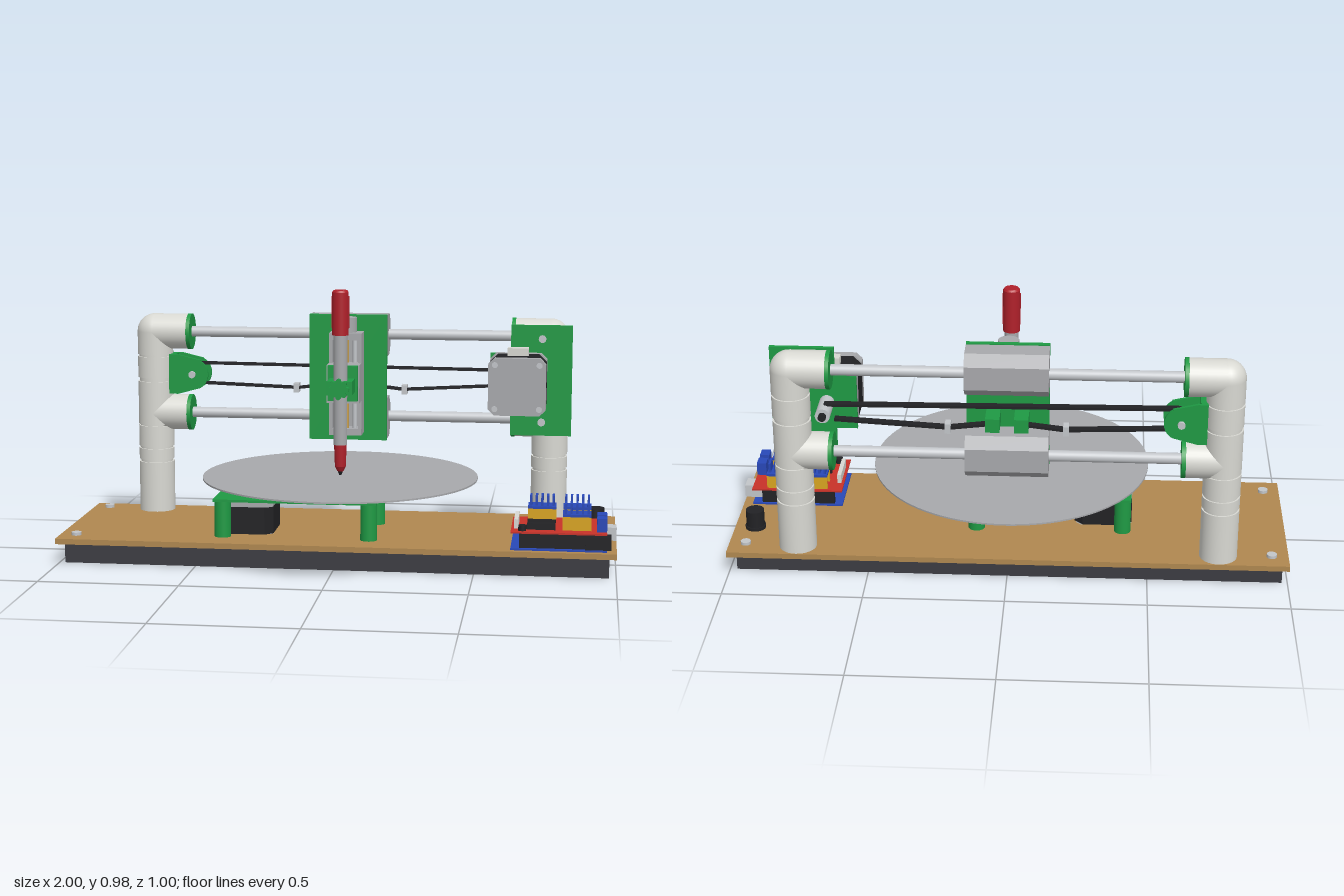
import * as THREE from 'three';

const C = { wood: 0xb08850, dark: 0x3c3c42, black: 0x222225, green: 0x1f9a44, red: 0xb0202a,
  pipe: 0xd8d8d2, steel: 0xc2c5c9, grey: 0xa8a9ac, blue: 0x2848b8, yellow: 0xd9a520, board: 0xc83228, gold: 0xc8a050 };
const mats = {};
const mat = (c) => (mats[c] ??= new THREE.MeshStandardMaterial({ color: C[c], side: THREE.DoubleSide }));

export function createModel() {
  const root = new THREE.Group();
  root.name = 'drawingMachine';
  const add = (name, geo, color, parent = root) => {
    const m = new THREE.Mesh(geo, mat(color));
    m.name = name;
    parent.add(m);
    return m;
  };
  const group = (name) => {
    const g = new THREE.Group();
    g.name = name;
    root.add(g);
    return g;
  };
  // box from its min and max on each axis
  const box = (name, color, x0, x1, y0, y1, z0, z1, parent) => {
    const m = add(name, new THREE.BoxGeometry(x1 - x0, y1 - y0, z1 - z0), color, parent);
    m.position.set((x0 + x1) / 2, (y0 + y1) / 2, (z0 + z1) / 2);
    return m;
  };
  // cylinder centred at x, y, z along an axis
  const cyl = (name, color, r, len, x, y, z, axis = 'y', parent = root, seg = 32) => {
    const m = add(name, new THREE.CylinderGeometry(r, r, len, seg), color, parent);
    m.position.set(x, y, z);
    if (axis === 'x') m.rotation.z = Math.PI / 2;
    if (axis === 'z') m.rotation.x = Math.PI / 2;
    return m;
  };
  // lathe with hard edges: each [r0, y0, r1, y1] is one band
  const turned = (name, color, bands, x, z, parent) => bands.forEach(([r0, y0, r1, y1]) => {
    const m = add(name, new THREE.CylinderGeometry(r1, r0, y1 - y0, 32), color, parent);
    m.position.set(x, (y0 + y1) / 2, z);
  });
  const extrude = (name, color, pts, depth, parent) => add(name,
    new THREE.ExtrudeGeometry(new THREE.Shape(pts.map((p) => new THREE.Vector2(...p))), { depth, bevelEnabled: false }), color, parent);
  // flat belt loop around two pulleys on the local x axis, extruded along z
  const beltLoop = (name, x0, r0, x1, r1, width, parent) => {
    const outline = (P, t) => {
      const a = Math.acos((r0 - r1) / (x1 - x0));
      P.absarc(x0, 0, r0 + t, a, 2 * Math.PI - a, false);
      P.absarc(x1, 0, r1 + t, -a, a, false);
      P.closePath();
      return P;
    };
    const s = outline(new THREE.Shape(), 0.008);
    s.holes.push(outline(new THREE.Path(), 0));
    return add(name, new THREE.ExtrudeGeometry(s, { depth: width, bevelEnabled: false, curveSegments: 24 }), 'black', parent);
  };

  // base board, runners and bolts
  box('baseBoard', 'wood', -1, 1, 0.08, 0.1, -0.38, 0.265);
  box('frontRunner', 'dark', -0.98, 0.975, 0, 0.08, 0.13, 0.205);
  box('backRunner', 'dark', -0.98, 0.975, 0, 0.08, -0.32, -0.245);
  for (const [x, z] of [[-0.94, -0.31], [0.94, -0.31], [-0.94, 0.19], [0.94, 0.19]])
    cyl('baseBolt', 'steel', 0.018, 0.012, x, 0.105, z);

  // stepper motor, axis along local z, back cap towards +z
  const motor = (name, len, capBack, capFront) => {
    const g = group(name);
    const a = 0.104, c = 0.022;
    const sq = (k) => [[-a, -a + k], [-a + k, -a], [a - k, -a], [a, -a + k], [a, a - k], [a - k, a], [-a + k, a], [-a, a - k]];
    extrude('motorFrontCap', 'grey', sq(c), capFront, g);
    extrude('motorCore', 'black', sq(c * 1.3), len - capBack - capFront, g).position.z = capFront;
    extrude('motorBackCap', 'grey', sq(c), capBack, g).position.z = len - capBack;
    for (const sx of [-1, 1]) for (const sy of [-1, 1])
      cyl('motorScrew', 'steel', 0.011, 0.004, sx * 0.08, sy * 0.08, len, 'z', g, 12);
    return g;
  };

  // turntable drive
  const tm = motor('turntableMotor', 0.195, 0.06, 0.035);
  tm.rotation.x = Math.PI / 2;
  tm.position.set(-0.34, 0.235, 0);
  for (const x of [-0.41, 0.12]) for (const z of [-0.142, 0.142])
    cyl('turntablePost', 'green', 0.03, 0.135, x, 0.167, z);
  box('turntablePlate', 'green', -0.44, 0.15, 0.232, 0.241, -0.178, 0.178);
  const drive = group('turntableDrive');
  turned('drivenPulley', 'black', [[0.095, 0.253, 0.095, 0.285]], 0, 0, drive);
  for (const y of [0.25, 0.288]) cyl('pulleyFlange', 'green', 0.104, 0.006, 0, y, 0, 'y', drive);
  cyl('drivePulley', 'black', 0.036, 0.045, -0.34, 0.265, 0, 'y', drive);
  cyl('driveShaft', 'steel', 0.012, 0.06, -0.34, 0.265, 0, 'y', drive);
  cyl('bearing', 'steel', 0.05, 0.03, 0, 0.245, 0, 'y', drive);
  const tb = beltLoop('turntableBelt', -0.34, 0.036, 0, 0.095, 0.025, drive);
  tb.rotation.x = -Math.PI / 2;
  tb.position.y = 0.257;
  cyl('turntableHub', 'steel', 0.06, 0.012, 0, 0.295, 0);
  cyl('turntableLowerDisc', 'grey', 0.3, 0.005, 0, 0.295, 0, 'y', root, 64);
  cyl('turntableDisc', 'grey', 0.5, 0.006, 0, 0.304, 0, 'y', root, 96);

  // pipe columns with tees, elbows and rod flanges
  const Z = -0.31, R = 0.067, railY = [0.48, 0.79];
  for (const s of [-1, 1]) {
    const g = group(s < 0 ? 'rightColumn' : 'leftColumn');
    const X = s * 0.75;
    cyl('pipeCore', 'pipe', 0.061, 0.69, X, 0.445, Z, 'y', g);
    for (const [a, b] of [[0.1, 0.29], [0.3, 0.342], [0.35, 0.43], [0.435, 0.6], [0.615, 0.695], [0.703, 0.79]])
      turned('pipeSleeve', 'pipe', [[R, a, R, b]], X, Z, g);
    add('elbowCorner', new THREE.SphereGeometry(R, 32, 20), 'pipe', g).position.set(X, 0.79, Z);
    for (const y of railY) {
      cyl('pipeBranch', 'pipe', R, 0.135, s * 0.6825, y, Z, 'x', g);
      cyl('rodFlange', 'green', 0.068, 0.014, s * 0.613, y, Z, 'x', g);
    }
  }
  for (const y of railY) cyl('guideRod', 'steel', 0.02, 1.24, 0, y, Z, 'x');

  // belt idler bracket
  const idler = group('idlerBracket');
  const side = new THREE.Shape();
  side.moveTo(-0.685, 0.705);
  side.lineTo(-0.655, 0.705);
  side.lineTo(-0.57, 0.685);
  side.absarc(-0.6, 0.63, 0.06, 1.05, -1.05, true);
  side.lineTo(-0.655, 0.555);
  side.lineTo(-0.685, 0.555);
  for (const z of [-0.352, -0.28])
    add('idlerCheek', new THREE.ExtrudeGeometry(side, { depth: 0.012, bevelEnabled: false }), 'green', idler).position.z = z;
  box('idlerClamp', 'green', -0.69, -0.665, 0.555, 0.705, -0.352, -0.268, idler);
  cyl('idlerPulley', 'steel', 0.033, 0.05, -0.6, 0.63, Z, 'z', idler);
  cyl('idlerBolt', 'steel', 0.013, 0.11, -0.6, 0.63, Z, 'z', idler);

  // carriage belt, pinched in slightly at the carriage clamps
  const belt = group('carriageBelt');
  const run = (name, a, b) => {
    const m = add(name, new THREE.BoxGeometry(Math.hypot(b[0] - a[0], b[1] - a[1]), 0.009, 0.028), 'black', belt);
    m.position.set((a[0] + b[0]) / 2, (a[1] + b[1]) / 2, Z);
    m.rotation.z = Math.atan2(b[1] - a[1], b[0] - a[0]);
  };
  run('upperBelt', [-0.6, 0.671], [0.635, 0.66]);
  for (const s of [-1, 1]) {
    run('lowerBelt', [s * 0.6, s < 0 ? 0.596 : 0.605], [s * 0.2, 0.582]);
    run('lowerBeltEnd', [s * 0.2, 0.582], [s * 0.05, 0.6]);
    box('beltTensioner', 'steel', s * 0.205 - 0.01, s * 0.205 + 0.01, 0.565, 0.6, Z - 0.02, Z + 0.02, belt);
  }

  // carriage motor with mounting plate
  const cm = motor('carriageMotor', 0.185, 0.035, 0.04);
  cm.position.set(0.635, 0.635, -0.224);
  box('motorPlate', 'green', 0.605, 0.83, 0.43, 0.84, -0.24, -0.225);
  box('motorFlange', 'green', 0.53, 0.61, 0.535, 0.735, -0.24, -0.225);
  box('motorConnector', 'pipe', 0.597, 0.673, 0.735, 0.767, -0.162, -0.12);
  for (const y of [0.48, 0.79]) cyl('plateBolt', 'steel', 0.014, 0.008, 0.72, y, -0.222, 'z');
  cyl('carriagePulley', 'steel', 0.026, 0.12, 0.635, 0.635, -0.3, 'z');
  cyl('carriageShaft', 'black', 0.014, 0.14, 0.635, 0.635, -0.305, 'z');

  // carriage plate and bearing housings
  box('carriagePlate', 'green', -0.145, 0.145, 0.4, 0.87, -0.245, -0.225);
  for (const y of railY) {
    const h = 0.077;
    const m = extrude('bearingHousing', 'grey',
      [[0.245, -h], [0.245, h], [0.325, h], [0.365, h - 0.035], [0.365, -h + 0.035], [0.325, -h]], 0.29);
    m.rotation.y = Math.PI / 2;
    m.position.set(-0.145, y, 0);
  }
  for (const x of [-0.05, 0.05]) box('beltClamp', 'green', x - 0.025, x + 0.025, 0.575, 0.625, -0.335, -0.245);

  // pen lift slide
  const slide = group('penLift');
  box('slideBack', 'grey', -0.06, 0.06, 0.43, 0.81, -0.225, -0.205, slide);
  for (const s of [-1, 1]) {
    box('slideWall', 'grey', s * 0.054 - 0.006, s * 0.054 + 0.006, 0.43, 0.81, -0.205, -0.142, slide);
    cyl('slideRod', 'steel', 0.008, 0.34, s * 0.033, 0.62, -0.165, 'y', slide, 16);
  }
  box('slideBottom', 'grey', -0.06, 0.06, 0.43, 0.455, -0.205, -0.14, slide);
  box('slideTop', 'grey', -0.06, 0.06, 0.785, 0.81, -0.205, -0.14, slide);
  cyl('leadScrew', 'gold', 0.011, 0.34, 0, 0.62, -0.165, 'y', slide, 16);
  cyl('slideMotor', 'grey', 0.037, 0.055, 0, 0.837, -0.192, 'y', slide);
  box('slideBlock', 'grey', -0.06, 0.06, 0.56, 0.7, -0.18, -0.075, slide);

  // pen holder
  const holder = group('penHolder');
  box('holderPlate', 'green', -0.055, 0.055, 0.57, 0.7, -0.075, -0.055, holder);
  box('holderBlock', 'green', -0.046, 0.046, 0.605, 0.655, -0.06, 0.035, holder);
  cyl('holderScrew', 'steel', 0.01, 0.04, 0, 0.63, 0.045, 'z', holder, 16);
  cyl('knob', 'green', 0.03, 0.024, 0, 0.63, 0.056, 'z', holder);
  for (let i = 0; i < 8; i++)
    cyl('knobLobe', 'green', 0.009, 0.024, 0.029 * Math.cos(i * Math.PI / 4), 0.63 + 0.029 * Math.sin(i * Math.PI / 4), 0.056, 'z', holder, 12);

  // pen
  const pen = group('pen');
  turned('penCap', 'red', [[0.03, 0.82, 0.03, 0.975], [0.03, 0.975, 0.025, 0.982]], 0, 0, pen);
  for (const s of [-1, 1]) box('capClip', 'red', s * 0.028 - 0.004, s * 0.028 + 0.004, 0.845, 0.96, -0.006, 0.006, pen);
  turned('penBody', 'grey', [[0.025, 0.42, 0.025, 0.82]], 0, 0, pen);
  turned('penGrip', 'red', [[0.02, 0.34, 0.023, 0.42], [0.011, 0.322, 0.02, 0.34]], 0, 0, pen);
  turned('penTip', 'black', [[0.003, 0.305, 0.011, 0.325]], 0, 0, pen);

  // controller boards
  const ctl = group('controller');
  box('lowerBoard', 'blue', 0.63, 0.965, 0.102, 0.108, -0.012, 0.25, ctl);
  box('upperBoard', 'board', 0.63, 0.965, 0.161, 0.167, -0.015, 0.247, ctl);
  for (const z of [0.005, 0.225]) box('header', 'black', 0.66, 0.93, 0.108, 0.161, z - 0.01, z + 0.01, ctl);
  box('usbPort', 'steel', 0.91, 1, 0.11, 0.157, 0.03, 0.09, ctl);
  box('powerJack', 'black', 0.89, 0.98, 0.108, 0.155, 0.195, 0.245, ctl);
  for (const z of [0.11, 0.145]) cyl('capacitor', 'steel', 0.013, 0.035, 0.92, 0.126, z, 'y', ctl, 16);
  for (const [x, z] of [[0.735, 0.035], [0.86, 0.035], [0.86, 0.165], [0.735, 0.165]]) {
    const full = !(x < 0.8 && z > 0.1);
    for (const s of [-1, 1])
      box('driverSocket', full ? 'yellow' : 'black', x - 0.05, x + 0.05, 0.167, full ? 0.215 : 0.19, z + s * 0.032 - 0.006, z + s * 0.032 + 0.006, ctl);
    if (!full) { box('emptySocketChip', 'black', x - 0.035, x + 0.035, 0.167, 0.18, z - 0.03, z + 0.03, ctl); continue; }
    box('driverBoard', 'blue', x - 0.05, x + 0.05, 0.215, 0.224, z - 0.038, z + 0.038, ctl);
    for (let i = 0; i < 5; i++)
      box('heatSinkFin', 'blue', x - 0.044 + i * 0.02, x - 0.036 + i * 0.02, 0.224, 0.26, z - 0.025, z + 0.025, ctl);
  }
  for (const z of [0.125, 0.195]) box('terminalBlock', 'blue', 0.93, 0.965, 0.167, 0.215, z - 0.024, z + 0.024, ctl);
  box('pinHeader', 'pipe', 0.64, 0.655, 0.167, 0.2, 0.05, 0.19, ctl);
  cyl('resetButton', 'black', 0.014, 0.02, 0.67, 0.177, 0.22, 'y', ctl, 16);

  // push button on the base
  cyl('buttonBase', 'black', 0.037, 0.012, 0.925, 0.106, -0.185);
  cyl('buttonBody', 'black', 0.033, 0.07, 0.925, 0.137, -0.185);
  return root;
}
